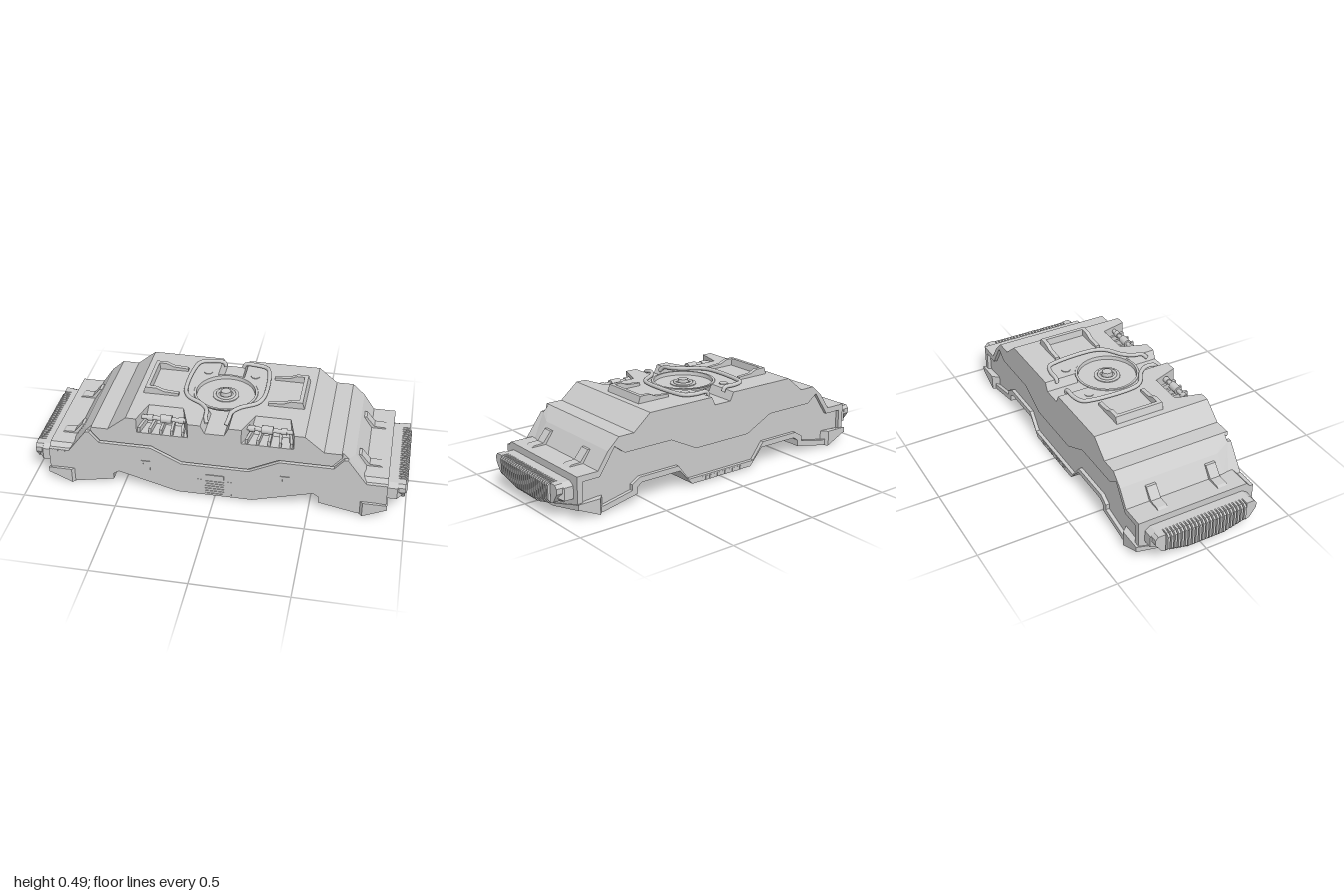
import * as THREE from 'three';
import { ConvexGeometry } from 'three/addons/geometries/ConvexGeometry.js';

const mat = new THREE.MeshStandardMaterial({ color: 0xcccccc, side: THREE.DoubleSide });

function add(parent, name, geo) {
  const m = new THREE.Mesh(geo, mat);
  m.name = name;
  parent.add(m);
}
const shapeOf = pts => new THREE.Shape(pts.map(p => new THREE.Vector2(p[0], p[1])));
const extrude = (pts, d) => new THREE.ExtrudeGeometry(shapeOf(pts), { depth: d, bevelEnabled: false });
// side profile in x,y between two z values
const profile = (pts, z0, z1) => extrude(pts, z1 - z0).translate(0, 0, z0);
// plan outline in x,z between two heights
const plan = (pts, y0, y1) => extrude(pts.map(([x, z]) => [x, -z]), y1 - y0).rotateX(-Math.PI / 2).translate(0, y0, 0);
// cross-section in z,y between two x values
const section = (pts, x0, x1) => extrude(pts.map(([z, y]) => [-z, y]), x1 - x0).rotateY(Math.PI / 2).translate(x0, 0, 0);
// complete a right half outline by mirroring it in x
const sym = pts => [...pts, ...pts.slice().reverse().map(([x, y]) => [-x, y])];
const box = (w, h, d, x, y, z) => new THREE.BoxGeometry(w, h, d).translate(x, y, z);
const rod = (r, len, x, y, z) => new THREE.CylinderGeometry(r, r, len, 16).rotateZ(Math.PI / 2).translate(x, y, z);
const convex = pts => new ConvexGeometry(pts.map(p => new THREE.Vector3(...p)));

const block = [[0.9, 0.055], [0.78, 0.004], [0.75, 0.005], [0.55, 0.045]];
const skirtBottom = [...block, [0.55, 0.08], [0.52, 0.1], [0.2, 0.01]];
const coreBottom = [...block, [0.55, 0.08], [0.52, 0.1], [0.28, 0.1], [0.2, 0.01]];
const shoulder = [[0.565, 0.37], [0.655, 0.37], [0.72, 0.31], [0.78, 0.222], [0.9, 0.222]];
const cutShoulder = [[0.565, 0.37], [0.655, 0.37], [0.69, 0.335], [0.79, 0.2], [0.9, 0.2]];

function buildHull(g) {
  add(g, 'hullCore', profile(sym([...shoulder, ...coreBottom]), -0.31, 0.23));
  add(g, 'hullFrontCore', profile(sym([...cutShoulder, ...coreBottom]), 0.23, 0.31));
  // front plates with the stepped seam between them
  add(g, 'frontSkirt', profile(sym([[0.18, 0.195], [0.34, 0.275], [0.62, 0.275], [0.67, 0.335],
    [0.69, 0.335], [0.79, 0.2], [0.9, 0.2], ...skirtBottom]), 0.31, 0.33));
  add(g, 'frontUpperPlate', profile(sym([[0.175, 0.21], [0.335, 0.29], [0.61, 0.29], [0.66, 0.35],
    [0.655, 0.37]]), 0.31, 0.33));
  // rear plate overhangs a recessed skirt with a raised rim
  add(g, 'rearUpperPlate', profile(sym([[0.175, 0.2], [0.335, 0.28], [0.62, 0.28], [0.68, 0.325],
    [0.77, 0.19], [0.9, 0.19], ...shoulder.slice().reverse()]), -0.33, -0.31));
  const rimTop = [[0.22, 0.04], [0.29, 0.13], [0.53, 0.13], [0.58, 0.1], [0.58, 0.07], [0.75, 0.035], [0.87, 0.06], [0.87, 0.19], [0.9, 0.19]];
  add(g, 'rearRim', profile(sym([...rimTop, ...coreBottom]), -0.33, -0.31));
}

function buildRoofHalf(g) {
  const arc = [];
  for (let i = 0; i <= 16; i++) {
    const a = 1.08 - i * 2.16 / 16;
    arc.push([0.16 * Math.cos(a), 0.16 * Math.sin(a)]);
  }
  add(g, 'roofPlate', plan([[0.075, -0.33], [0.465, -0.33], [0.465, 0.33], [0.41, 0.33], [0.375, 0.19],
    [0.19, 0.19], [0.14, 0.33], [0.075, 0.33], ...arc], 0.37, 0.453));
  add(g, 'roofSlope', profile([[0.465, 0.37], [0.565, 0.37], [0.465, 0.453]], -0.33, 0.33));
  for (const [a, b] of [[-0.33, -0.15], [0.15, 0.33]]) {
    add(g, 'trenchWall', profile([[0.05, 0.405], [0.08, 0.405], [0.08, 0.453], [0.073, 0.453]], a, b));
  }

  // chamfered front corner of the shoulder, with the deck beside it
  add(g, 'cornerChamfer', convex([[0.6, 0.37, 0.23], [0.655, 0.37, 0.23], [0.72, 0.31, 0.23], [0.78, 0.222, 0.23], [0.6, 0.1, 0.23],
    [0.6, 0.37, 0.31], [0.655, 0.37, 0.31], [0.69, 0.335, 0.31], [0.78, 0.2, 0.31], [0.6, 0.1, 0.31]]));
  add(g, 'shoulderDeck', section([[0.22, 0.19], [0.22, 0.222], [0.29, 0.222], [0.32, 0.19]], 0.77, 0.9));

  // front bay: sloping back wall, fins and a crosswise ram
  add(g, 'bayBackWall', section([[0.19, 0.37], [0.235, 0.37], [0.19, 0.45]], 0.18, 0.39));
  for (let i = 0; i < 5; i++) {
    const x = 0.19 + i * 0.046, lean = (i - 2) * 0.012;
    add(g, 'bayFin', plan([[x - 0.007, 0.19], [x + 0.007, 0.19], [x + lean + 0.007, 0.325], [x + lean - 0.007, 0.325]], 0.37, 0.398));
  }
  add(g, 'bayRam', rod(0.012, 0.25, 0.275, 0.425, 0.262));
  add(g, 'bayRamSleeve', rod(0.022, 0.06, 0.265, 0.425, 0.262));
  for (const x of [0.185, 0.35]) add(g, 'bayRamCollar', rod(0.017, 0.03, x, 0.425, 0.262));

  // raised bracket, open toward the middle
  const arm = [[0.24, 0.45], [0.24, 0.468], [0.32, 0.473], [0.36, 0.49], [0.42, 0.49], [0.432, 0.45]];
  for (const z of [-0.185, 0.063]) add(g, 'bracketArm', profile(arm, z, z + 0.022));
  add(g, 'bracketSpine', profile([[0.395, 0.45], [0.4, 0.49], [0.42, 0.49], [0.432, 0.45]], -0.165, 0.065));

  // curved roof pipe
  const path = new THREE.CatmullRomCurve3([[0.05, 0.445, -0.272], [0.06, 0.466, -0.272], [0.13, 0.468, -0.27], [0.185, 0.468, -0.25],
    [0.205, 0.468, -0.19], [0.21, 0.468, 0.03], [0.185, 0.466, 0.09], [0.1, 0.466, 0.15], [0.065, 0.465, 0.2],
    [0.06, 0.458, 0.25], [0.05, 0.435, 0.275]].map(p => new THREE.Vector3(...p)));
  add(g, 'roofPipe', new THREE.TubeGeometry(path, 64, 0.011, 10));
  add(g, 'roofCap', new THREE.CylinderGeometry(0.024, 0.024, 0.006, 24).translate(0.13, 0.454, -0.18));

  // front skirt details
  add(g, 'skirtClampTop', box(0.05, 0.014, 0.006, 0.37, 0.183, 0.331));
  for (const x of [0.352, 0.388]) add(g, 'skirtClampLeg', box(0.012, 0.05, 0.006, x, 0.158, 0.331));
  add(g, 'skirtPost', box(0.02, 0.09, 0.004, 0.08, 0.065, 0.33));
  for (let i = 0; i < 8; i++) add(g, 'shoulderVentTooth', box(0.008, 0.012, 0.004, 0.79 + i * 0.013, 0.194, 0.33));
}

function buildEnd(g) {
  // bevelled grille body
  const body = [[0.275, 0.115], [0.275, 0.155], [0.26, 0.165], [-0.26, 0.165], [-0.275, 0.155], [-0.275, 0.115], [-0.1, 0.065], [0.1, 0.065]];
  const geo = new THREE.ExtrudeGeometry(shapeOf(body), { depth: 0.07, bevelThickness: 0.025, bevelSize: 0.02, bevelSegments: 1 });
  add(g, 'grilleBody', geo.rotateY(Math.PI / 2).translate(0.88, 0, 0));
  const slat = (z, w) => {
    const y0 = 0.045 + Math.max(0, Math.abs(z) - 0.1) * 0.25;
    add(g, 'grilleSlat', profile([[0.95, y0], [0.982, y0], [1, y0 + 0.022], [1, 0.17], [0.982, 0.185], [0.95, 0.185]], z - w / 2, z + w / 2));
  };
  for (let i = -11; i <= 11; i++) slat(i * 0.02, 0.012);
  add(g, 'bumperCentre', section([[0.12, 0.004], [0.12, 0.04], [-0.12, 0.04], [-0.12, 0.004]], 0.76, 0.905));
  for (const s of [-1, 1]) {
    add(g, 'grilleCheek', section([[s * 0.232, 0.08], [s * 0.255, 0.09], [s * 0.29, 0.14], [s * 0.29, 0.168], [s * 0.275, 0.185], [s * 0.232, 0.185]], 0.95, 0.99));
    // slanted bumper, undercut at its outer bottom corner
    add(g, 'bumperWedge', convex([[0.9, 0.085, s * 0.345], [0.9, 0.055, s * 0.345], [0.9, 0.004, s * 0.11], [0.9, 0.004, s * 0.06],
      [0.9, 0.02, s * 0.06], [0.78, 0.085, s * 0.345], [0.78, 0, s * 0.345], [0.74, 0, s * 0.3], [0.74, 0.085, s * 0.3], [0.74, 0.004, s * 0.06]]));
    add(g, 'bumperBand', section([[s * 0.345, 0.085], [s * 0.345, 0.055], [s * 0.11, 0.003], [s * 0.06, 0.003]], 0.89, 0.906));
    // step handles on the shoulder
    add(g, 'shoulderHandle', profile([[0.735, 0.287], [0.75, 0.287], [0.795, 0.232], [0.85, 0.23], [0.862, 0.222], [0.78, 0.2]],
      s * 0.172 - 0.028, s * 0.172 + 0.028));
  }
}

function buildCentre(g) {
  add(g, 'trenchFloor', box(0.15, 0.04, 0.66, 0, 0.388, 0));
  const lathe = pts => new THREE.LatheGeometry(pts.map(p => new THREE.Vector2(...p)), 48).toNonIndexed();
  const dish = lathe([[0.172, 0.453], [0.17, 0.456], [0.158, 0.456], [0.155, 0.436], [0.07, 0.436]]);
  dish.computeVertexNormals();
  add(g, 'dish', dish);
  add(g, 'hub', new THREE.CylinderGeometry(0.07, 0.07, 0.035, 32).translate(0, 0.423, 0));
  add(g, 'hubRing', new THREE.TorusGeometry(0.045, 0.008, 8, 32).rotateX(Math.PI / 2).translate(0, 0.443, 0));
  add(g, 'hubKnob', new THREE.CylinderGeometry(0.026, 0.03, 0.024, 16).translate(0, 0.45, 0));
  // louvred vent low on the front skirt, toothed edge on the rear rim
  for (let i = 0; i < 6; i++) add(g, 'ventLouvre', box(0.1, 0.009, 0.006, 0, 0.02 + i * 0.016, 0.33));
  for (let i = -5; i <= 5; i++) add(g, 'rearRimTooth', box(0.014, 0.022, 0.012, i * 0.026, 0.021, -0.326));
  add(g, 'frontPlate', box(0.1, 0.025, 0.006, 0, 0.133, 0.331));
}

export function createModel() {
  const root = new THREE.Group();
  const part = name => {
    const g = new THREE.Group();
    g.name = name;
    root.add(g);
    return g;
  };
  buildHull(part('hull'));
  buildCentre(part('centre'));
  for (const s of [1, -1]) {
    const half = part(s > 0 ? 'leftRoof' : 'rightRoof');
    buildRoofHalf(half);
    half.scale.x = s;
    const end = part(s > 0 ? 'leftEnd' : 'rightEnd');
    buildEnd(end);
    if (s < 0) end.rotation.y = Math.PI;
  }
  return root;
}
